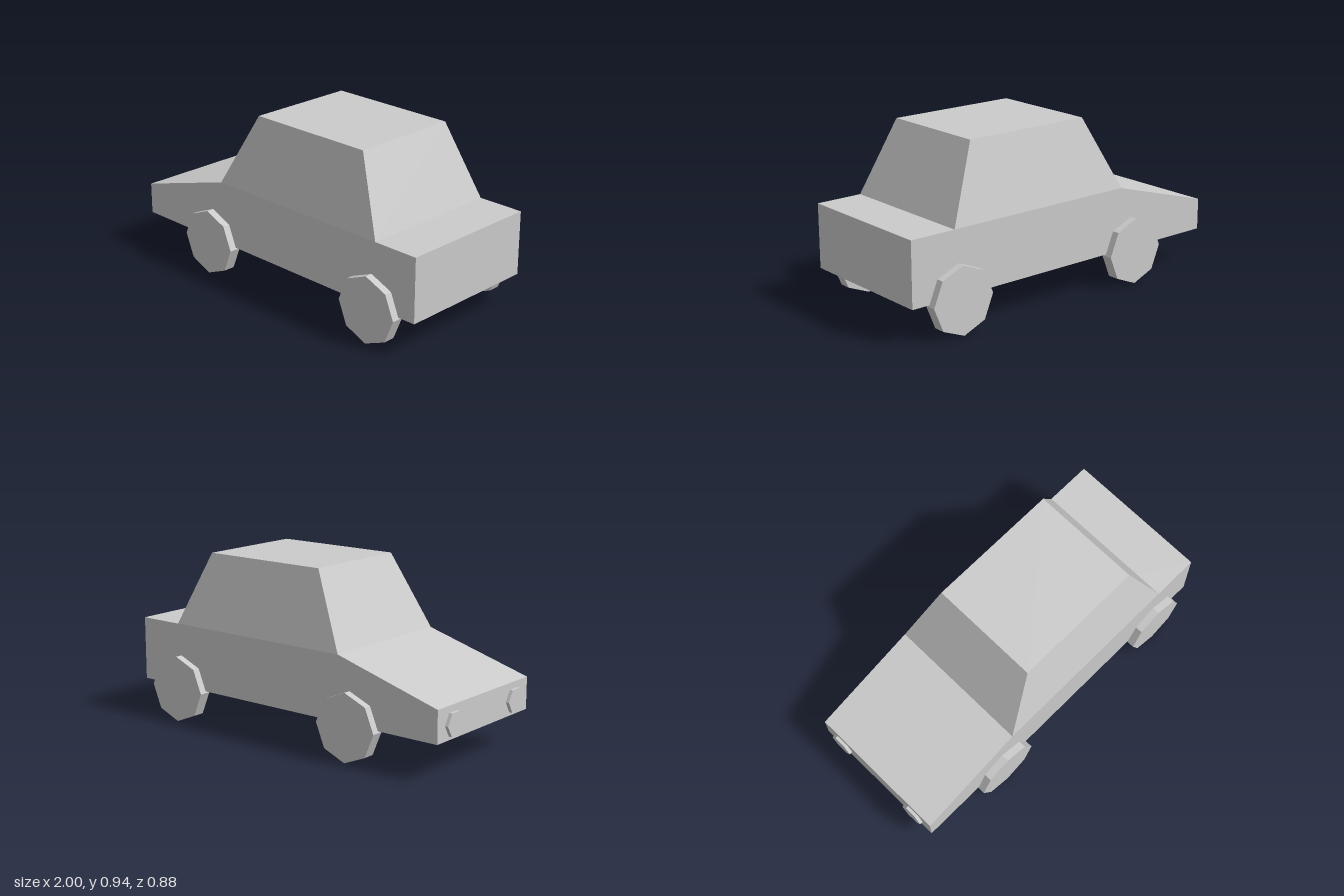
import * as THREE from 'three';

const material = new THREE.MeshStandardMaterial({ color: 0xcccccc, flatShading: true });

export function createModel() {
  const car = new THREE.Group();
  car.name = 'car';

  const add = (name, geometry, x = 0, y = 0, z = 0) => {
    const mesh = new THREE.Mesh(geometry, material);
    mesh.name = name;
    mesh.position.set(x, y, z);
    car.add(mesh);
  };

  // Lower body: side profile with a sloping bonnet, nose towards -x
  const halfWidth = 0.4;
  const profile = new THREE.Shape([
    [-0.982, 0.192], [1, 0.192], [1, 0.54], [-0.375, 0.54], [-0.982, 0.365],
  ].map(([x, y]) => new THREE.Vector2(x, y)));
  const body = new THREE.ExtrudeGeometry(profile, { depth: halfWidth * 2, bevelEnabled: false });
  add('body', body.translate(0, 0, -halfWidth));

  // Cabin: box whose upper corners are drawn inwards
  const cabin = new THREE.BoxGeometry(2, 0.397, 2);
  const p = cabin.attributes.position;
  for (let i = 0; i < p.count; i++) {
    const top = p.getY(i) > 0;
    p.setX(i, p.getX(i) < 0 ? (top ? -0.173 : -0.375) : (top ? 0.565 : 0.741));
    p.setZ(i, Math.sign(p.getZ(i)) * (top ? 0.305 : halfWidth));
  }
  cabin.computeVertexNormals();
  add('cabin', cabin, 0, 0.7385, 0);

  // Eight-sided wheels and six-sided headlights on both sides
  const wheel = new THREE.CylinderGeometry(0.182, 0.182, 0.065, 8).rotateX(Math.PI / 2);
  const headlight = new THREE.CylinderGeometry(0.068, 0.068, 0.04, 6).rotateZ(Math.PI / 2);
  for (const [side, s] of [['Right', 1], ['Left', -1]]) {
    add(`frontWheel${side === 'Right' ? 'Near' : 'Far'}`, wheel, -0.45, 0.183, s * 0.4085);
    add(`rearWheel${side === 'Right' ? 'Near' : 'Far'}`, wheel, 0.72, 0.183, s * 0.4085);
    add(`headlight${side === 'Right' ? 'Near' : 'Far'}`, headlight, -0.98, 0.27, s * 0.27);
  }

  return car;
}
